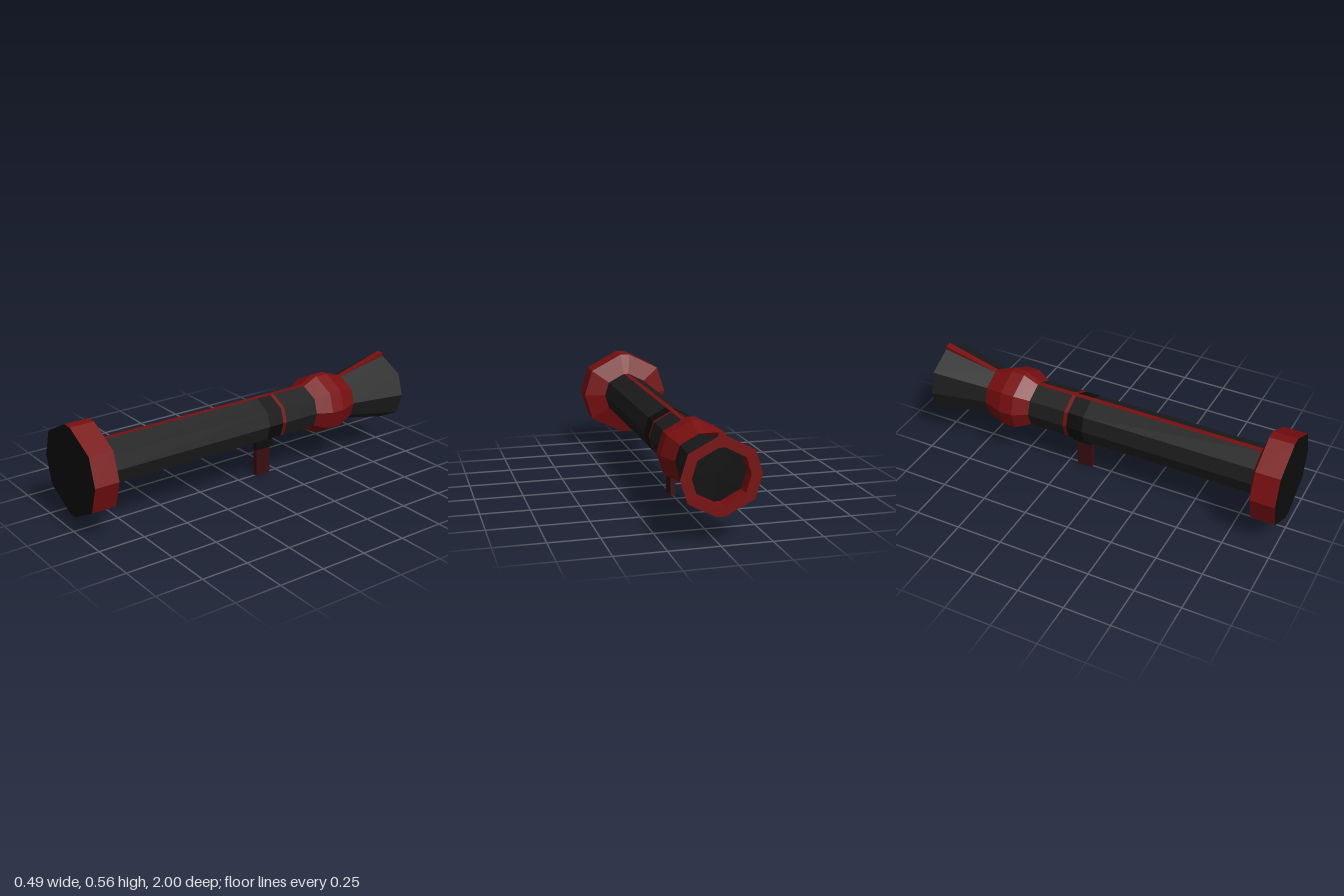
import * as THREE from 'three';

const RED = 0x780f10, DARK = 0x1c1c1c, BLACK = 0x0d0d0d, GRIP = 0x3a0e10;
const AXIS_Y = 0.325;

// ten-sided cross-section with narrow flats on top and bottom
const SECTION = [
  [0.245, 0], [0.2, 0.145], [0.027, 0.235], [-0.027, 0.235], [-0.2, 0.145],
  [-0.245, 0], [-0.2, -0.145], [-0.027, -0.235], [0.027, -0.235], [0.2, -0.145],
];
const ALL = SECTION.map((_, i) => i);
const STRIPS = [2, 7];
const SIDES = ALL.filter((i) => !STRIPS.includes(i));

function makeMesh(name, geometry, color) {
  const material = new THREE.MeshStandardMaterial({ color, flatShading: true });
  const mesh = new THREE.Mesh(geometry, material);
  mesh.name = name;
  return mesh;
}

// skin the chosen facets between stations [z, scale], ordered front to back
function loft(stations, facets = ALL) {
  const pos = [];
  const point = ([z, s], i) => {
    const [x, y] = SECTION[i % SECTION.length];
    return [x * s, AXIS_Y + y * s, z];
  };
  for (let k = 0; k < stations.length - 1; k++) {
    const a = stations[k], b = stations[k + 1];
    for (const i of facets) {
      if (b[1] > 0) pos.push(...point(a, i), ...point(b, i), ...point(b, i + 1));
      if (a[1] > 0) pos.push(...point(a, i), ...point(b, i + 1), ...point(a, i + 1));
    }
  }
  const geometry = new THREE.BufferGeometry();
  geometry.setAttribute('position', new THREE.Float32BufferAttribute(pos, 3));
  geometry.computeVertexNormals();
  return geometry;
}

function box(x, y0, y1, z0, z1) {
  return new THREE.BoxGeometry(x * 2, y1 - y0, z1 - z0)
    .translate(0, (y0 + y1) / 2, (z0 + z1) / 2);
}

export function createModel() {
  const model = new THREE.Group();
  model.name = 'launcher';
  const add = (name, geometry, color) => model.add(makeMesh(name, geometry, color));
  const T = 0.53; // tube scale

  // front collar and its closed face
  add('frontFace', loft([[1, 0], [1, 1]]), BLACK);
  add('frontCollar', loft([[1, 1], [0.87, 1], [0.835, T]]), RED);

  // main tube, with a dark band and a thin ring
  add('tubeFront', loft([[0.835, T], [-0.11, T]], SIDES), DARK);
  add('tubeBand', loft([[-0.11, T], [-0.2, T]], SIDES), BLACK);
  add('tubeRing', loft([[-0.2, T], [-0.222, T]], SIDES), RED);
  add('tubeRear', loft([[-0.222, T], [-0.43, T]], SIDES), DARK);
  add('tubeStripes', loft([[0.835, T], [-0.43, T]], STRIPS), RED);

  // bulge and flared exhaust
  add('bulge', loft([[-0.43, T], [-0.51, 0.7], [-0.585, 0.7], [-0.695, T]]), RED);
  add('exhaustCone', loft([[-0.695, T], [-1, 0.79]]), DARK);
  add('exhaustRim', loft([[-1, 0.79], [-1, 0.57], [-0.93, 0.57]]), RED);
  add('exhaustFloor', loft([[-0.93, 0.57], [-0.93, 0]]), BLACK);

  // raised rib along the top of the exhaust, rising towards the back
  const rib = box(0.0145, 0, 1, -1, -0.695);
  const p = rib.attributes.position;
  for (let i = 0; i < p.count; i++) {
    const t = (-0.695 - p.getZ(i)) / 0.305;
    p.setX(i, p.getX(i) * (1 + 0.3 * t));
    p.setY(i, p.getY(i) > 0.5 ? 0.45 + 0.08 * t : 0.43 + 0.06 * t);
  }
  add('exhaustRib', rib, RED);

  // grip below the band
  add('grip', box(0.014, 0, 0.15, -0.198, -0.11), GRIP);
  add('gripMount', box(0.0145, 0.15, 0.21, -0.2, -0.11), BLACK);

  // wedge-shaped trigger behind the grip
  const side = new THREE.Shape([
    new THREE.Vector2(0.195, 0.21), new THREE.Vector2(0.195, 0.16),
    new THREE.Vector2(0.226, 0.145), new THREE.Vector2(0.215, 0.21),
  ]);
  const trigger = new THREE.ExtrudeGeometry(side, { depth: 0.024, bevelEnabled: false })
    .translate(0, 0, -0.012).rotateY(Math.PI / 2);
  add('trigger', trigger, BLACK);

  return model;
}
